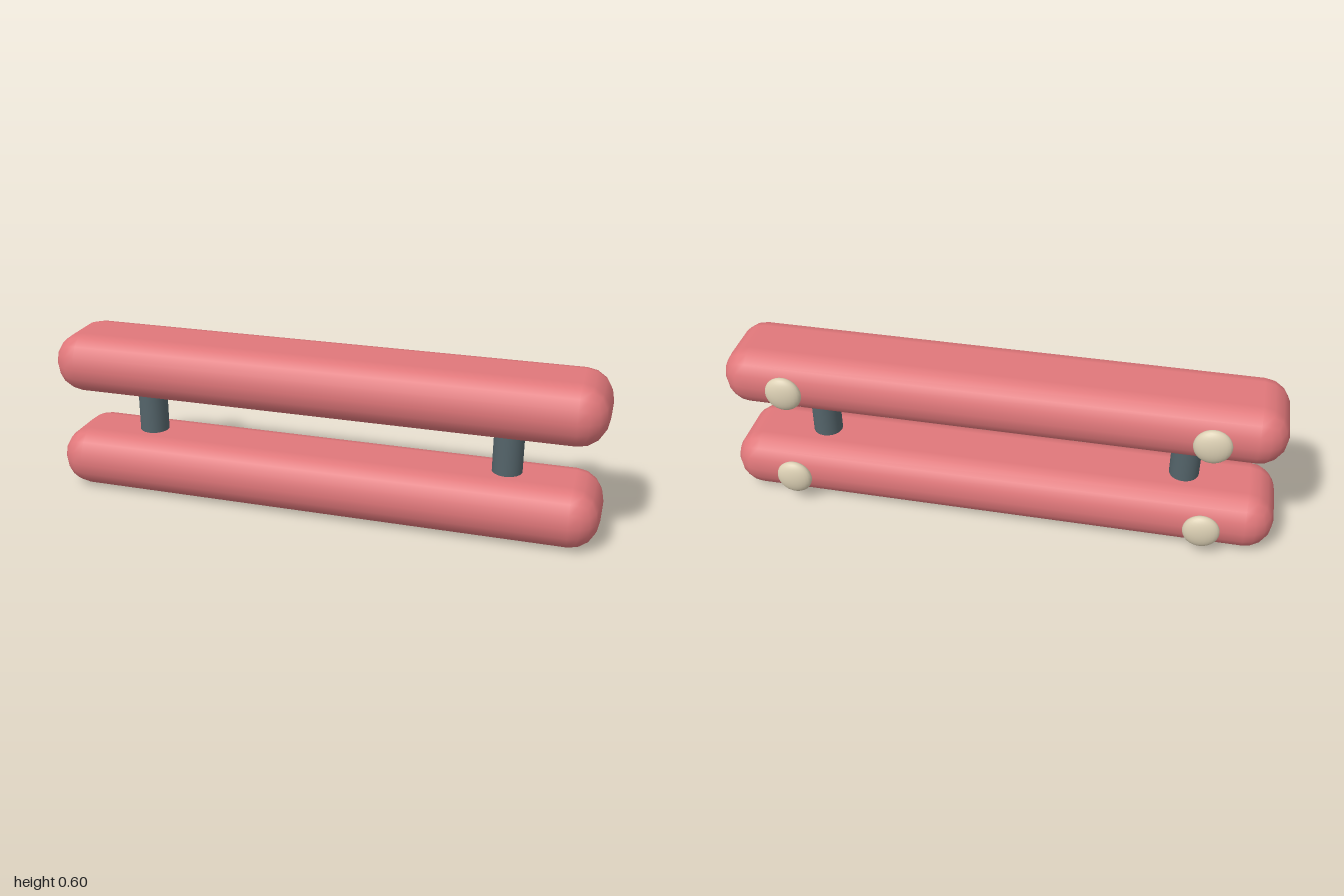
import * as THREE from 'three';

const red = new THREE.MeshStandardMaterial({ name: 'coral red', color: 0xe0777a });
const slate = new THREE.MeshStandardMaterial({ name: 'slate grey', color: 0x54646a });
const cream = new THREE.MeshStandardMaterial({ name: 'cream', color: 0xdcd0b4 });

// Box whose edges are rounded in equal angular steps, with one radius per axis
function roundedBar(half, radii) {
  const geo = new THREE.BoxGeometry(1, 1, 1, 5, 5, 5);
  const pos = geo.attributes.position, nor = geo.attributes.normal;
  const v = new THREE.Vector3(), s = new THREE.Vector3(), n = new THREE.Vector3();
  const warp = c => Math.sign(c) * Math.tan((Math.abs(c) - 0.1) / 0.4 * Math.PI / 4);
  const inner = half.clone().sub(radii);
  for (let i = 0; i < pos.count; i++) {
    v.fromBufferAttribute(pos, i);
    s.set(Math.sign(v.x), Math.sign(v.y), Math.sign(v.z));
    v.set(warp(v.x), warp(v.y), warp(v.z)).normalize();
    n.copy(v).divide(radii).normalize();
    v.multiply(radii).add(s.multiply(inner));
    pos.setXYZ(i, v.x, v.y, v.z);
    nor.setXYZ(i, n.x, n.y, n.z);
  }
  return geo;
}

export function createModel() {
  const model = new THREE.Group();
  model.name = 'doubleBar';
  const add = (name, geo, mat, x, y, z) => {
    const mesh = new THREE.Mesh(geo, mat);
    mesh.name = name;
    mesh.position.set(x, y, z);
    model.add(mesh);
    return mesh;
  };

  const barGeo = roundedBar(new THREE.Vector3(1, 0.109, 0.17), new THREE.Vector3(0.1, 0.108, 0.097));
  const postGeo = new THREE.CylinderGeometry(0.0535, 0.0535, 0.34, 24);
  const studGeo = new THREE.SphereGeometry(1, 24, 16).scale(0.066, 0.066, 0.03);

  // Two bars, each with a pair of studs on the back
  for (const [level, y] of [['lower', 0.11], ['upper', 0.487]]) {
    add(level + 'Bar', barGeo, red, 0, y, 0.02);
    for (const side of [-1, 1]) {
      add(level + (side > 0 ? 'LeftStud' : 'RightStud'), studGeo, cream, side * 0.75, y, -0.16);
    }
  }

  // Posts joining the bars
  for (const side of [-1, 1]) {
    add(side > 0 ? 'leftPost' : 'rightPost', postGeo, slate, side * 0.667, 0.298, 0.021);
  }
  return model;
}
